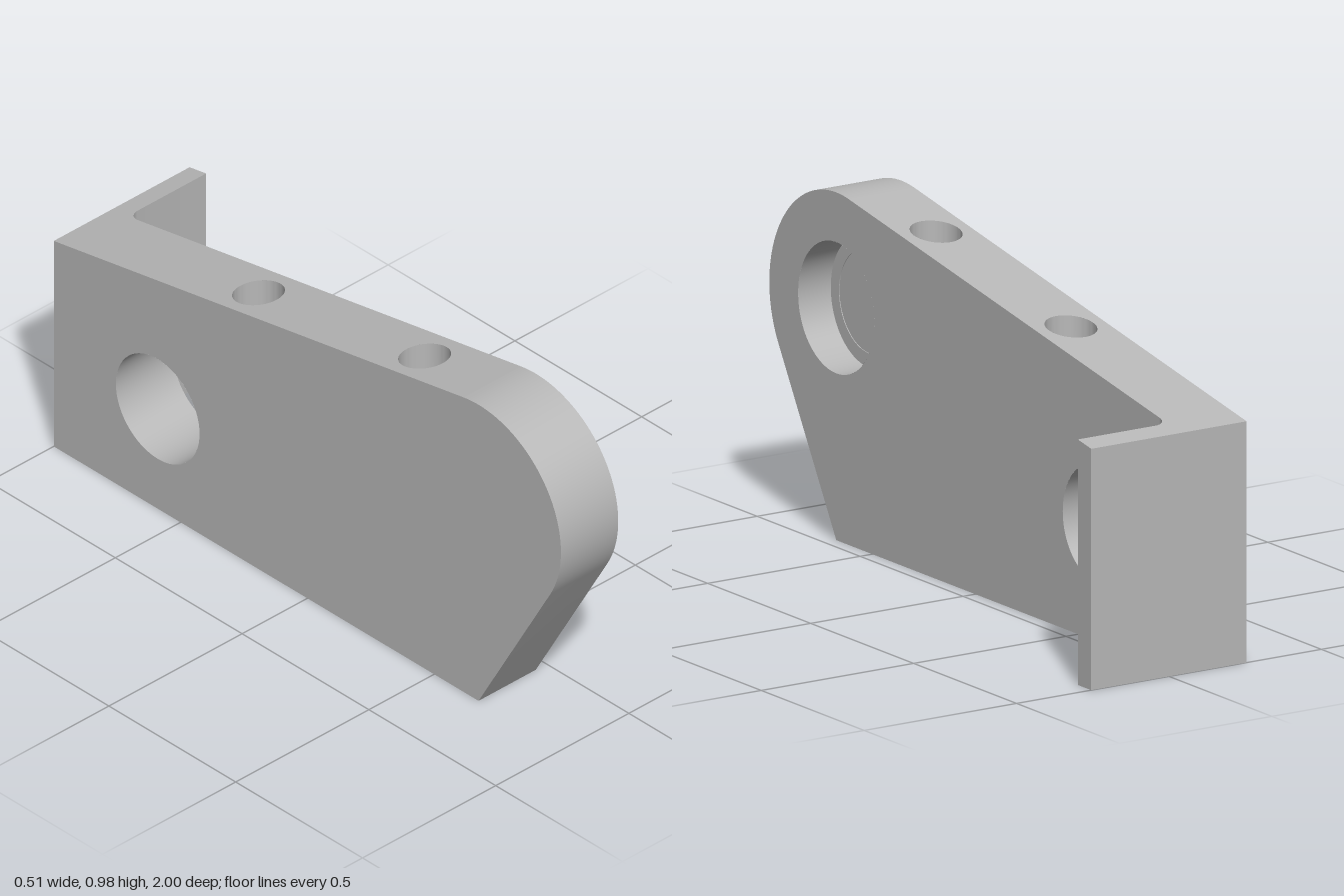
import * as THREE from 'three';
import { toCreasedNormals } from 'three/addons/utils/BufferGeometryUtils.js';

const OUT = -0.255, IN = -0.04, TIP = 0.255;      // plate faces and flange tip (x)
const BACK = -1, FLANGE = -0.935, FILLET = 0.04;  // flange faces (z)
const EYE = { z: 0.675, y: 0.655, r: 0.325 };     // rounded front end
const SEG = 64;
const V = (x, y, z) => new THREE.Vector3(x, y, z);

// The straight edges run tangent to the rounded end
const A0 = -Math.PI / 2 + Math.acos(EYE.r / EYE.y);
const A1 = Math.atan2(0.68 - EYE.y, BACK - EYE.z) - Math.acos(EYE.r / Math.hypot(BACK - EYE.z, 0.68 - EYE.y));
const endZ = EYE.z + EYE.r * Math.cos(A1), endY = EYE.y + EYE.r * Math.sin(A1);
const topY = z => 0.68 + (endY - 0.68) * (z - BACK) / (endZ - BACK);

// Quads between successive rows of points
function loft(rows) {
  const pos = [], idx = [], n = rows[0].length;
  rows.flat().forEach(p => pos.push(p.x, p.y, p.z));
  for (let r = 0; r < rows.length - 1; r++) {
    for (let i = 0; i < n - 1; i++) {
      const a = r * n + i, c = a + n;
      idx.push(a, a + 1, c, a + 1, c + 1, c);
    }
  }
  const g = new THREE.BufferGeometry();
  g.setAttribute('position', new THREE.Float32BufferAttribute(pos, 3));
  g.setIndex(idx);
  return toCreasedNormals(g, 0.5);
}

// Flat face with round holes, placed in space by a mapping rule
function face(points, holes, map, flip) {
  const shape = new THREE.Shape(points.map(p => new THREE.Vector2(p[0], p[1])));
  for (const [s, t, r] of holes) {
    shape.holes.push(new THREE.Path().absarc(s, t, r, 0, Math.PI * 2, true));
  }
  const g = new THREE.ShapeGeometry(shape, SEG);
  const p = g.attributes.position;
  for (let i = 0; i < p.count; i++) p.setXYZ(i, ...map(p.getX(i), p.getY(i)));
  if (flip) g.index.array.reverse();
  g.computeVertexNormals();
  return g;
}

const circle = fn => Array.from({ length: SEG + 1 }, (_, i) => {
  const a = i / SEG * Math.PI * 2;
  return fn(Math.cos(a), -Math.sin(a));
});
const ringX = (x, z, y, r) => circle((c, s) => V(x, y + r * s, z + r * c));
const ringY = (x, y, z, r) => circle((c, s) => V(x + r * c, typeof y === 'function' ? y(z + r * s) : y, z + r * s));

export function createModel() {
  const group = new THREE.Group();
  group.name = 'bracket';
  const steel = new THREE.MeshStandardMaterial({ color: 0xb8b8b8, side: THREE.DoubleSide });
  steel.name = 'grey steel';
  const add = (name, geometry) => {
    const m = new THREE.Mesh(geometry, steel);
    m.name = name;
    group.add(m);
  };

  // Front edge path: toe, rounded nose, start of the sloping top
  const nose = [[EYE.z, 0]];
  for (let i = 0; i <= 40; i++) {
    const a = A0 + (A1 - A0) * i / 40;
    nose.push([EYE.z + EYE.r * Math.cos(a), EYE.y + EYE.r * Math.sin(a)]);
  }
  add('noseRim', loft([IN, OUT].map(x => nose.map(([z, y]) => V(x, y, z)))));

  // Broad faces of the plate
  const cross = [-0.59, 0.33, 0.165], pocket = [EYE.z, EYE.y, 0.185];
  const side = z => [...nose, [z, topY(z)], [z, 0]];
  add('outerFace', face(side(BACK), [cross], (z, y) => [OUT, y, z], false));
  add('innerFace', face(side(FLANGE + FILLET), [cross, pocket], (z, y) => [IN, y, z], true));

  // Plan outline of the back, flange and inside fillet
  const plan = [[OUT, BACK], [TIP, BACK], [TIP, FLANGE]];
  for (let i = 0; i <= 12; i++) {
    const a = -Math.PI / 2 - i / 12 * Math.PI / 2;
    plan.push([IN + FILLET + FILLET * Math.cos(a), FLANGE + FILLET + FILLET * Math.sin(a)]);
  }
  add('flangeWalls', loft([
    plan.map(([x, z]) => V(x, topY(z), z)),
    plan.map(([x, z]) => V(x, 0, z)),
  ]));

  // Top and bottom faces with the screw holes
  const screwX = -0.148, screwZ = [-0.305, 0.35];
  const bores = r => screwZ.map(z => [screwX, z, r]);
  const outline = z => [...plan, [IN, z], [OUT, z]];
  add('topFace', face(outline(endZ), bores(0.072), (x, z) => [x, topY(z), z], true));
  add('bottomFace', face(outline(EYE.z), bores(0.054), (x, z) => [x, 0, z], false));

  // Stepped vertical screw holes
  for (const z of screwZ) {
    add('screwHole', loft([
      ringY(screwX, topY, z, 0.072), ringY(screwX, 0.4, z, 0.072),
      ringY(screwX, 0.4, z, 0.034), ringY(screwX, 0.22, z, 0.034),
      ringY(screwX, 0.22, z, 0.054), ringY(screwX, 0, z, 0.054),
    ]));
  }

  // Cross hole and blind round pocket with a shallow seat
  add('crossHole', loft([ringX(IN, ...cross), ringX(OUT, ...cross)]));
  const floor = IN - 0.107;
  add('pocket', loft([
    ringX(IN, ...pocket), ringX(floor, ...pocket),
    ringX(floor, EYE.z, EYE.y, 0.145), ringX(floor - 0.002, EYE.z, EYE.y, 0.145),
    ringX(floor - 0.002, EYE.z, EYE.y, 0.0001),
  ]));

  return group;
}
